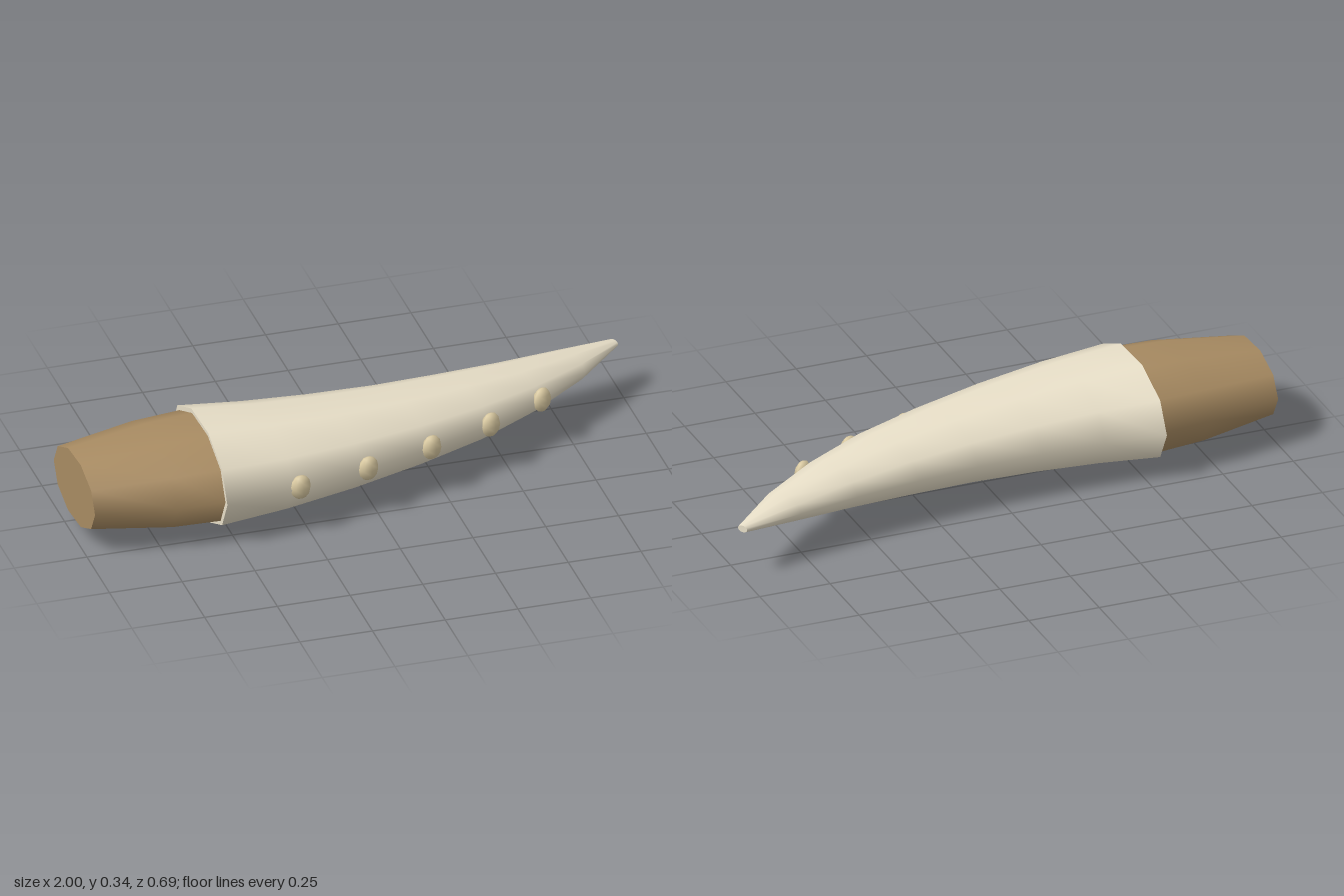
import * as THREE from 'three';

const SIDES = 10, MID_Y = 0.168, FLATTEN = 0.62;

// Loft of ten-sided oval rings. Each ring: [backX, backZ, frontX, frontZ]
function loft(rings) {
  const pos = [], idx = [];
  const addRing = ([bx, bz, fx, fz]) => {
    const cx = (bx + fx) / 2, cz = (bz + fz) / 2;
    const hx = (fx - bx) / 2, hz = (fz - bz) / 2;
    const ry = Math.hypot(hx, hz) * FLATTEN;
    const start = pos.length / 3;
    for (let i = 0; i < SIDES; i++) {
      const a = (i / SIDES) * Math.PI * 2;
      pos.push(cx + hx * Math.cos(a), MID_Y + ry * Math.sin(a), cz + hz * Math.cos(a));
    }
    return start;
  };
  const starts = rings.map(addRing);
  for (let r = 0; r < rings.length - 1; r++) {
    for (let i = 0; i < SIDES; i++) {
      const j = (i + 1) % SIDES;
      const a = starts[r] + i, b = starts[r] + j, c = starts[r + 1] + i, d = starts[r + 1] + j;
      idx.push(a, c, b, b, c, d);
    }
  }
  // flat end caps with their own vertices
  [rings[0], rings[rings.length - 1]].forEach((ring, end) => {
    const s = addRing(ring);
    for (let i = 1; i < SIDES - 1; i++) {
      if (end === 0) idx.push(s, s + i, s + i + 1);
      else idx.push(s, s + i + 1, s + i);
    }
  });
  const g = new THREE.BufferGeometry();
  g.setAttribute('position', new THREE.Float32BufferAttribute(pos, 3));
  g.setIndex(idx);
  g.computeVertexNormals();
  return g;
}

export function createModel() {
  const model = new THREE.Group();
  model.name = 'curvedHorn';
  const add = (name, geometry, color) => {
    const mesh = new THREE.Mesh(geometry, new THREE.MeshStandardMaterial({ color }));
    mesh.name = name;
    model.add(mesh);
    return mesh;
  };

  // Tapering curved horn
  add('horn', loft([
    [-0.56, -0.228, -0.545, 0.34],
    [-0.35, -0.205, -0.31, 0.308],
    [-0.13, -0.198, -0.06, 0.252],
    [0.10, -0.204, 0.19, 0.178],
    [0.32, -0.225, 0.43, 0.088],
    [0.55, -0.257, 0.64, -0.022],
    [0.77, -0.30, 0.84, -0.16],
    [0.98, -0.345, 1.0, -0.312],
  ]), 0xe8dfc8);

  // Brown grip behind the horn
  add('grip', loft([
    [-1.0, -0.12, -0.98, 0.275],
    [-0.73, -0.185, -0.71, 0.318],
    [-0.555, -0.205, -0.54, 0.32],
  ]), 0xa88b62);

  // Row of studs along the outer curve: [x, z, slope angle]
  const studGeometry = new THREE.SphereGeometry(1, 8, 6);
  [
    [-0.28, 0.298, 0.17],
    [-0.03, 0.243, 0.25],
    [0.21, 0.17, 0.33],
    [0.44, 0.082, 0.43],
    [0.65, -0.028, 0.55],
  ].forEach(([x, z, angle], i) => {
    const stud = add('stud' + (i + 1), studGeometry, 0xd8c8a0);
    stud.position.set(x, MID_Y + 0.003, z);
    stud.scale.set(0.037, 0.043, 0.025);
    stud.rotation.y = angle;
  });

  return model;
}
